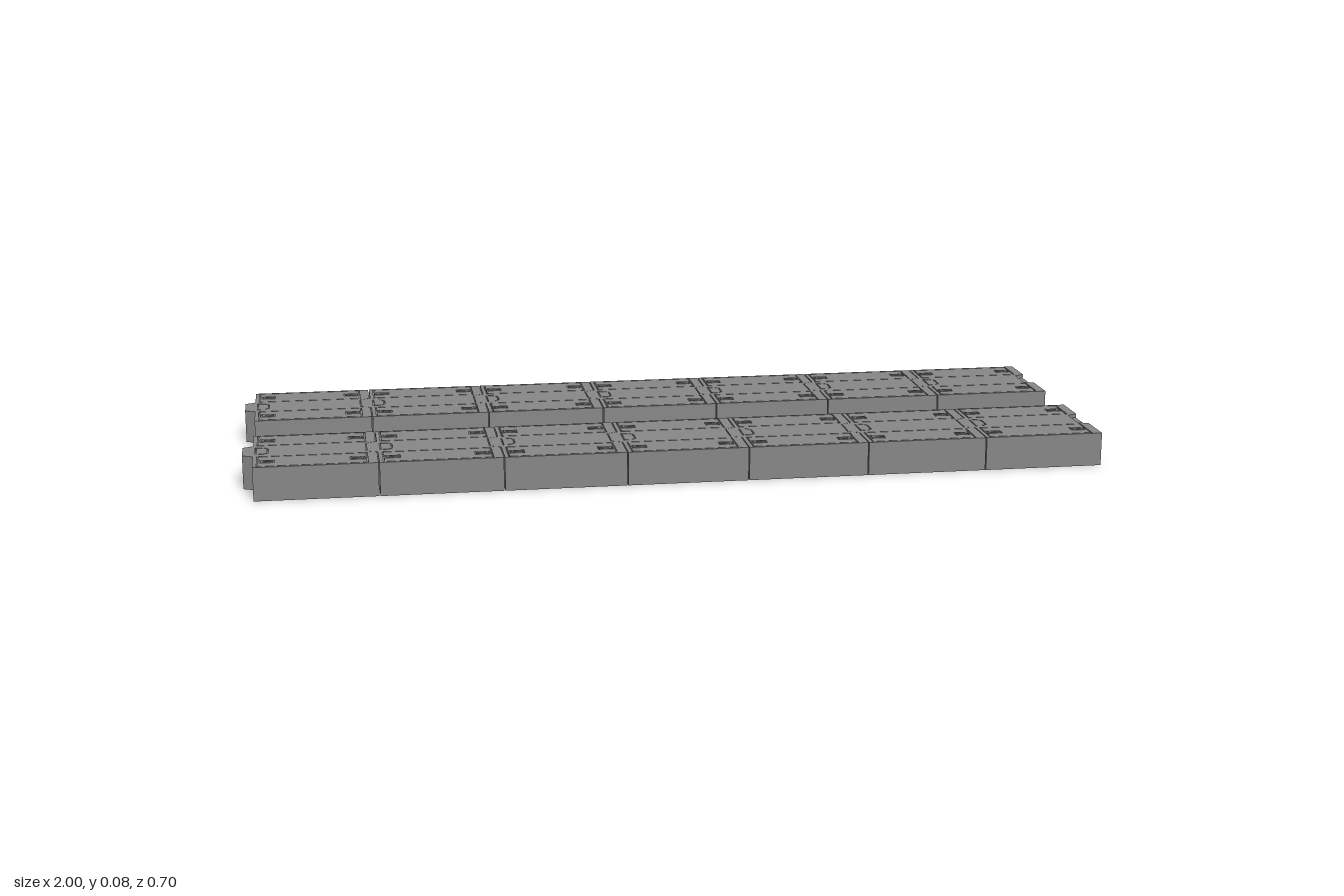
import * as THREE from 'three';

const PITCH = 0.2826, LENGTH = 0.2804, HALF = 0.14, TAB = 0.024;
const DECK = 0.0725, TOP = 0.0785, WALL = 0.002;
const COUNT = 7, ROW_Z = 0.212, GROOVE = 0.003;

const material = new THREE.MeshStandardMaterial({ color: 0x868686, flatShading: true });

const points = (pts) => pts.map(([x, z]) => new THREE.Vector2(x, z));
const polygon = (pts) => new THREE.Shape(points(pts));
const cut = (shape, pts) => shape.holes.push(new THREE.Path(points(pts)));
const rect = (x0, x1, z0, z1) => [[x0, z0], [x1, z0], [x1, z1], [x0, z1]];

// Plan outline of a panel: tapered tab on the -x end, matching notch on the +x end
function outline(x0, x1, half, mouth) {
  const end = (x) => [
    [x, -half], [x, -mouth], [x - TAB, -mouth + 0.012],
    [x - TAB, mouth - 0.012], [x, mouth], [x, half],
  ];
  return [...end(x1), ...end(x0).reverse()];
}

// D-shaped latch outline, grown by g
const latchOutline = (g) => [
  [0.008 - g, -0.026 - g], [0.024, -0.026 - g], [0.032 + g, -0.018],
  [0.032 + g, 0.018], [0.024, 0.026 + g], [0.008 - g, 0.026 + g],
];

// Bracket-shaped clip; dir is the side that stays open
function clipOutline(x, z, dir) {
  const length = 0.028, h = 0.009, t = 0.006, b = x + dir * length;
  return [
    [x, z - h], [b, z - h], [b, z - h + t], [x + dir * t, z - h + t],
    [x + dir * t, z + h - t], [b, z + h - t], [b, z + h], [x, z + h],
  ];
}

// Extrude a plan shape upward between two heights
function slab(name, shape, y0, y1) {
  const geo = new THREE.ExtrudeGeometry(shape, { depth: y1 - y0, bevelEnabled: false });
  geo.rotateX(-Math.PI / 2).translate(0, y0, 0);
  const mesh = new THREE.Mesh(geo, material);
  mesh.name = name;
  return mesh;
}

function createPanel() {
  const panel = new THREE.Group();
  panel.name = 'panel';

  // Skirt walls, open underneath
  const skirt = polygon(outline(0, LENGTH, HALF, 0.047));
  cut(skirt, outline(WALL, LENGTH - WALL, HALF - WALL, 0.046));
  panel.add(slab('skirt', skirt, 0, DECK - 0.003));

  // Deck floor seen at the bottom of the grooves
  panel.add(slab('deck', polygon(outline(0, LENGTH, HALF, 0.047)), DECK - 0.003, DECK));

  // Top frame with openings for the side treads and the latch
  const frame = polygon(outline(0, LENGTH, HALF, 0.047));
  const x0 = 0.009, x1 = LENGTH - 0.022;
  cut(frame, latchOutline(GROOVE));
  for (const s of [-1, 1]) {
    const [z0, z1] = s > 0 ? [0.048, 0.135] : [-0.135, -0.048];
    cut(frame, rect(x0, x1, z0, z1));

    // Side tread surrounded by a narrow groove, with a pocket for each clip
    const g = GROOVE;
    const tread = polygon(rect(x0 + g, x1 - g, z0 + g, z1 - g));
    const zc = s * 0.092;
    for (const [x, dir] of [[x0 + 0.009, 1], [x1 - 0.009, -1]]) {
      const ends = [x - dir * g, x + dir * (0.028 + g)].sort((a, b) => a - b);
      cut(tread, rect(ends[0], ends[1], zc - 0.009 - g, zc + 0.009 + g));
      panel.add(slab('cornerClip', polygon(clipOutline(x, zc, dir)), DECK, TOP + 0.001));
    }
    panel.add(slab('sideTread', tread, DECK, TOP));
  }
  panel.add(slab('topFrame', frame, DECK, TOP));
  panel.add(slab('latch', polygon(latchOutline(0)), DECK, TOP));

  // Stiffening ribs under the deck
  for (let i = -3; i <= 3; i++) {
    const rib = new THREE.Mesh(new THREE.BoxGeometry(LENGTH - 0.07, 0.004, 0.006), material);
    rib.name = 'underRib';
    rib.position.set(LENGTH / 2 - 0.01, DECK - 0.005, i * 0.034);
    panel.add(rib);
  }
  return panel;
}

export function createModel() {
  const model = new THREE.Group();
  model.name = 'interlockingTrackPanels';
  const panel = createPanel();
  for (const s of [-1, 1]) {
    const row = new THREE.Group();
    row.name = s > 0 ? 'frontTrack' : 'backTrack';
    row.position.z = s * ROW_Z;
    for (let i = 0; i < COUNT; i++) {
      const p = panel.clone();
      p.position.x = -0.976 + i * PITCH;
      row.add(p);
    }
    model.add(row);
  }
  return model;
}
